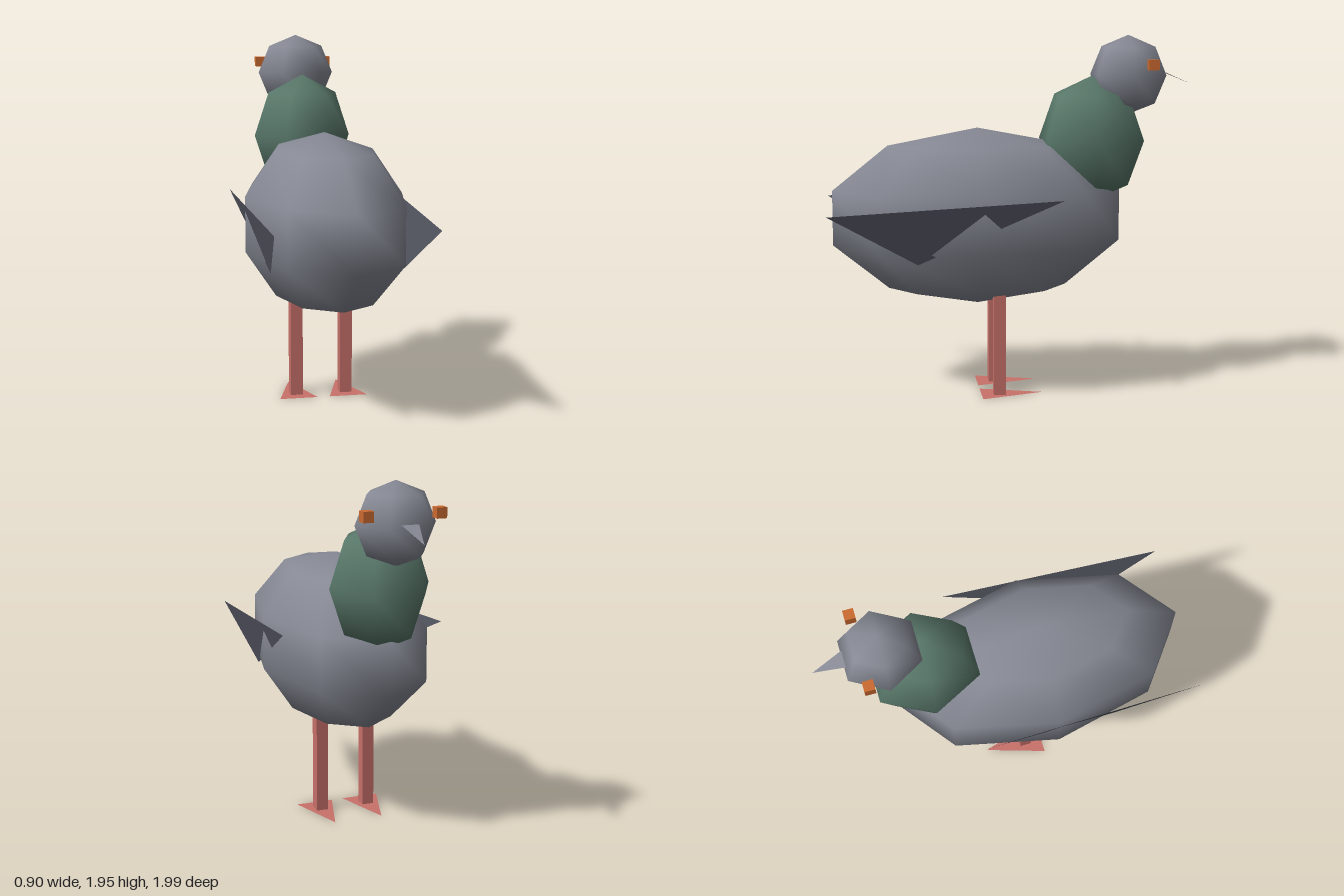
import * as THREE from 'three';

const mat = (name, color, side = THREE.FrontSide) => {
  const m = new THREE.MeshStandardMaterial({ color, side });
  m.name = name;
  return m;
};

export function createModel() {
  const bird = new THREE.Group();
  bird.name = 'bird';

  const grey = mat('greyFeather', 0x868994, THREE.DoubleSide);
  const green = mat('greenNeck', 0x59786a);
  const slate = mat('slateWing', 0x52545f, THREE.DoubleSide);
  const pink = mat('pinkLeg', 0xc8716a, THREE.DoubleSide);
  const orange = mat('orangeEye', 0xcc6a30);

  const add = (name, geometry, material, x = 0, y = 0, z = 0) => {
    const mesh = new THREE.Mesh(geometry, material);
    mesh.name = name;
    mesh.position.set(x, y, z);
    bird.add(mesh);
    return mesh;
  };
  // smooth low-poly ellipsoid
  const blob = (rx, ry, rz, w, h) => new THREE.SphereGeometry(1, w, h).scale(rx, ry, rz);
  // single flat triangle
  const triangle = (...points) => {
    const g = new THREE.BufferGeometry();
    g.setAttribute('position', new THREE.Float32BufferAttribute(points.flat(), 3));
    g.computeVertexNormals();
    return g;
  };

  // torso, neck and head
  add('body', blob(0.449, 0.4825, 0.826, 8, 5), grey, 0, 0.9675, 0.175);
  add('neck', blob(0.275, 0.345, 0.308, 6, 4), green, 0, 1.38, -0.45);
  add('head', blob(0.218, 0.216, 0.218, 6, 4), grey, 0, 1.73, -0.652);

  // flat beak sloping down to its tip
  add('beak', triangle([-0.055, 1.765, -0.8], [0.055, 1.765, -0.8], [0, 1.68, -1]), grey);

  for (const s of [1, -1]) {
    const side = s > 0 ? 'left' : 'right';
    add(side + 'Eye', new THREE.BoxGeometry(0.055, 0.055, 0.055), orange, s * 0.193, 1.79, -0.75);

    // wing, its inner part sunk into the body; corners ordered to face outward
    const front = [s * 0.452, 1.105, -0.235];
    const tip = [s * 0.412, 1.035, 0.99];
    const low = [s * 0.35, 0.765, 0.52];
    add(side + 'Wing', s > 0 ? triangle(front, tip, low) : triangle(front, low, tip), slate);

    // leg and flat triangular foot
    add(side + 'Leg', new THREE.BoxGeometry(0.066, 0.555, 0.066), pink, s * 0.1375, 0.2775, 0.07);
    add(side + 'Foot', triangle([-0.105, 0, 0.1], [0.105, 0, 0.1], [0, 0, -0.235]), pink, s * 0.1375, 0.001, 0.07);
  }

  return bird;
}
